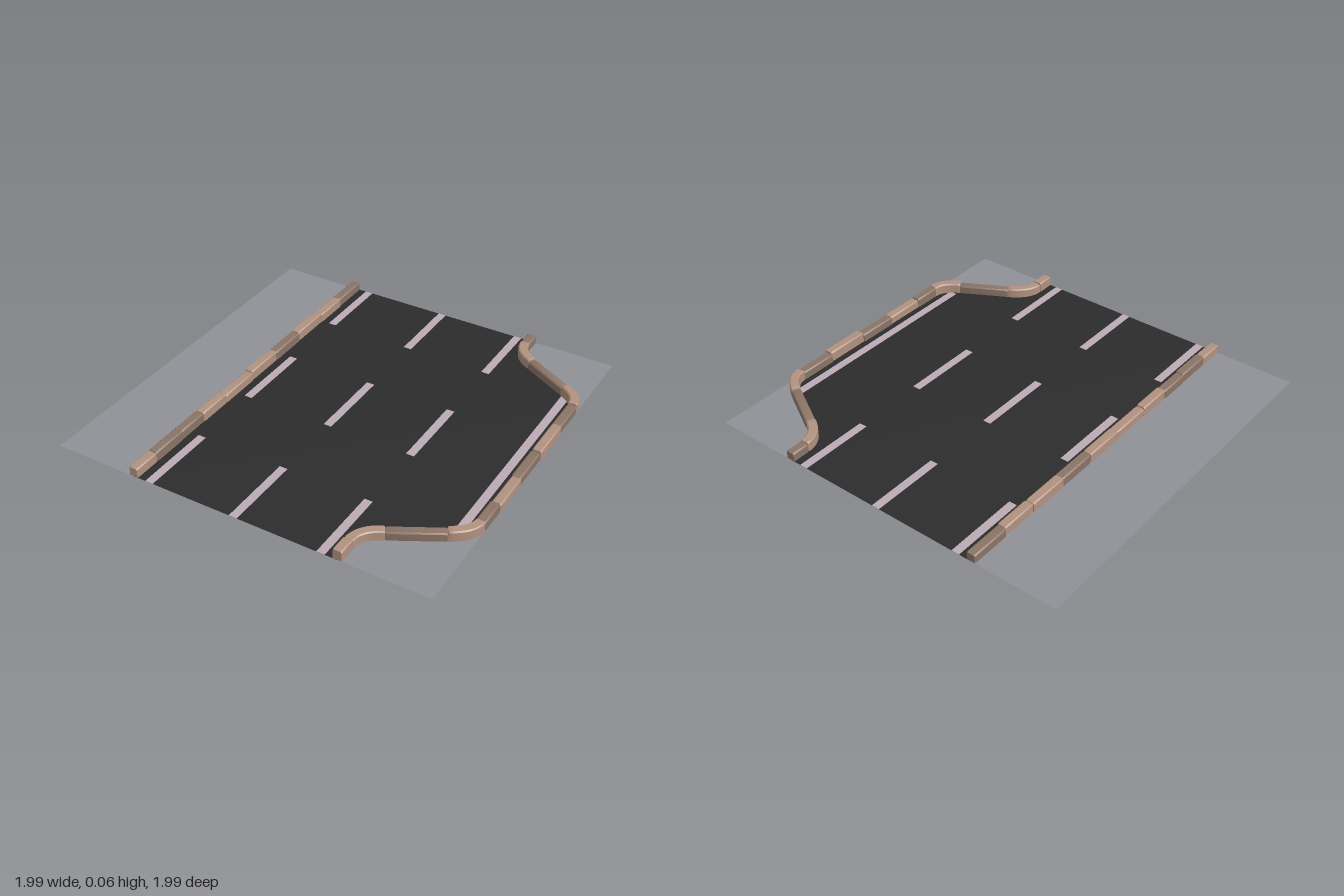
import * as THREE from 'three';
import { toCreasedNormals } from 'three/addons/utils/BufferGeometryUtils.js';

const mat = (name, color, side = THREE.FrontSide) => {
  const m = new THREE.MeshStandardMaterial({ color, side });
  m.name = name;
  return m;
};
const V = (x, z) => new THREE.Vector2(x, z);

// Sweep a bevelled kerb section along ground points (x, z); ends are pinched slightly.
function kerbGeometry(points, h) {
  const w = 0.024, b = 0.006, y0 = 0.001;
  const section = [[w, y0], [w, h - b], [w - b, h], [b - w, h], [-w, h - b], [-w, y0]];
  const path = [...points];
  const first = path[0], last = path[path.length - 1];
  path.splice(1, 0, first.clone().lerp(path[1], 0.008 / first.distanceTo(path[1])));
  const prev = path[path.length - 2];
  path.splice(path.length - 1, 0, last.clone().lerp(prev, 0.008 / last.distanceTo(prev)));
  const rings = path.map((p, i) => {
    const t = path[Math.min(i + 1, path.length - 1)].clone().sub(path[Math.max(i - 1, 0)]).normalize();
    const k = i === 0 || i === path.length - 1 ? 0.9 : 1;
    return section.map(([s, y]) => [p.x + t.y * s * k, y > y0 ? y - (1 - k) * 0.04 : y, p.y - t.x * s * k]);
  });
  const pos = [];
  const tri = (...c) => c.forEach((v) => pos.push(...v));
  for (let r = 0; r < rings.length - 1; r++) {
    const a = rings[r], c = rings[r + 1];
    for (let i = 0; i < section.length; i++) {
      const j = (i + 1) % section.length;
      tri(a[i], a[j], c[j]);
      tri(a[i], c[j], c[i]);
    }
  }
  const start = rings[0], end = rings[rings.length - 1];
  for (let i = 1; i < section.length - 1; i++) {
    tri(end[0], end[i], end[i + 1]);
    tri(start[0], start[i + 1], start[i]);
  }
  const g = new THREE.BufferGeometry();
  g.setAttribute('position', new THREE.Float32BufferAttribute(pos, 3));
  return toCreasedNormals(g, 0.5);
}

export function createModel() {
  const model = new THREE.Group();
  model.name = 'roadWithLayby';
  const asphalt = mat('asphalt', 0x2c2c2c, THREE.DoubleSide);
  const paving = mat('paving', 0x909197, THREE.DoubleSide);
  const paint = mat('roadPaint', 0xbbabb4);
  const lightStone = mat('lightStone', 0xb29280);
  const darkStone = mat('darkStone', 0x8b7467);
  const E = 0.993, X0 = -1, X1 = 0.987, KL = -0.553, KR = 0.535, KB = 0.965;

  const add = (name, geo, material, parent = model) => {
    const m = new THREE.Mesh(geo, material);
    m.name = name;
    parent.add(m);
    return m;
  };

  // Bends of the lay-by kerb at the +z end; sign mirrors them to the -z end
  const outerBend = (s) => new THREE.QuadraticBezierCurve(V(KR, 0.9 * s), V(KR, 0.815 * s), V(0.635, 0.763 * s)).getPoints(8);
  const innerBend = (s) => new THREE.QuadraticBezierCurve(V(0.87, 0.632 * s), V(KB, 0.58 * s), V(KB, 0.505 * s)).getPoints(8);

  // Ground sheets meeting under the kerbs
  const half = (s) => [V(KR, E * s), ...outerBend(s), ...innerBend(s)];
  const edge = [...half(1), ...half(-1).reverse()].map((p) => V(p.x + 0.045 * (p.x - KR), p.y));
  const sheet = (name, pts, material) => {
    const g = new THREE.ShapeGeometry(new THREE.Shape(pts.map((p) => V(p.x, -p.y))));
    add(name, g.rotateX(-Math.PI / 2), material);
  };
  sheet('leftOfFrontPavement', [V(X0, E), V(KL, E), V(KL, -E), V(X0, -E)], paving);
  sheet('carriageway', [V(KL, E), ...edge, V(KL, -E)], asphalt);
  const mid = edge.length / 2;
  sheet('frontCornerPavement', [...edge.slice(0, mid), V(X1, 0.505), V(X1, E)], paving);
  sheet('backCornerPavement', [...edge.slice(mid), V(X1, -E), V(X1, -0.505)], paving);

  // Painted lane dashes and the long lay-by line
  const stripe = (name, x, z0, z1) =>
    add(name, new THREE.BoxGeometry(0.042, 0.002, z1 - z0), paint).position.set(x, 0, (z0 + z1) / 2);
  for (const x of [-0.467, -0.002, 0.452]) {
    for (const [a, b] of [[-E, -0.595], [-0.21, 0.205], [0.588, E]]) stripe('laneDash', x, a, b);
  }
  stripe('laybyLine', 0.89, -0.6, 0.59);

  // Straight kerb: start z, end z, height, dark?, sideways shift
  const leftKerb = new THREE.Group();
  leftKerb.name = 'straightKerb';
  const rightKerb = new THREE.Group();
  rightKerb.name = 'laybyKerb';
  model.add(leftKerb, rightKerb);
  const stone = (parent, pts, h, dark) => add('kerbStone', kerbGeometry(pts, h), dark ? darkStone : lightStone, parent);
  const row = (parent, x, blocks) => blocks.forEach(([a, b, h, dark, dx]) =>
    stone(parent, [V(x + dx, a), V(x + dx, b)], h, dark));
  row(leftKerb, KL, [
    [-E, -0.78, 0.046, 1, 0], [-0.78, -0.585, 0.05, 0, 0.003], [-0.585, -0.365, 0.053, 0, -0.001],
    [-0.365, -0.15, 0.05, 1, 0.001], [-0.15, 0.07, 0.053, 0, -0.001], [0.07, 0.3, 0.046, 0, 0.002],
    [0.3, 0.485, 0.053, 0, 0.001], [0.485, 0.655, 0.05, 1, -0.002], [0.655, 0.85, 0.053, 1, 0.001],
    [0.85, E, 0.05, 0, 0],
  ]);

  // Lay-by kerb: straight run, then bends and diagonals at both ends
  row(rightKerb, KB, [
    [-0.505, -0.305, 0.045, 1, 0], [-0.305, -0.07, 0.055, 0, 0.005], [-0.07, 0.145, 0.045, 1, 0],
    [0.145, 0.36, 0.044, 0, 0.003], [0.36, 0.505, 0.051, 1, 0],
  ]);
  for (const s of [1, -1]) {
    stone(rightKerb, [V(KR, E * s), V(KR, 0.9 * s)], s > 0 ? 0.056 : 0.046, s < 0);
    stone(rightKerb, outerBend(s), s > 0 ? 0.05 : 0.053, 0);
    stone(rightKerb, [V(0.635, 0.763 * s), V(0.87, 0.632 * s)], 0.044, 1);
    stone(rightKerb, innerBend(s), 0.055, 0);
  }
  return model;
}
